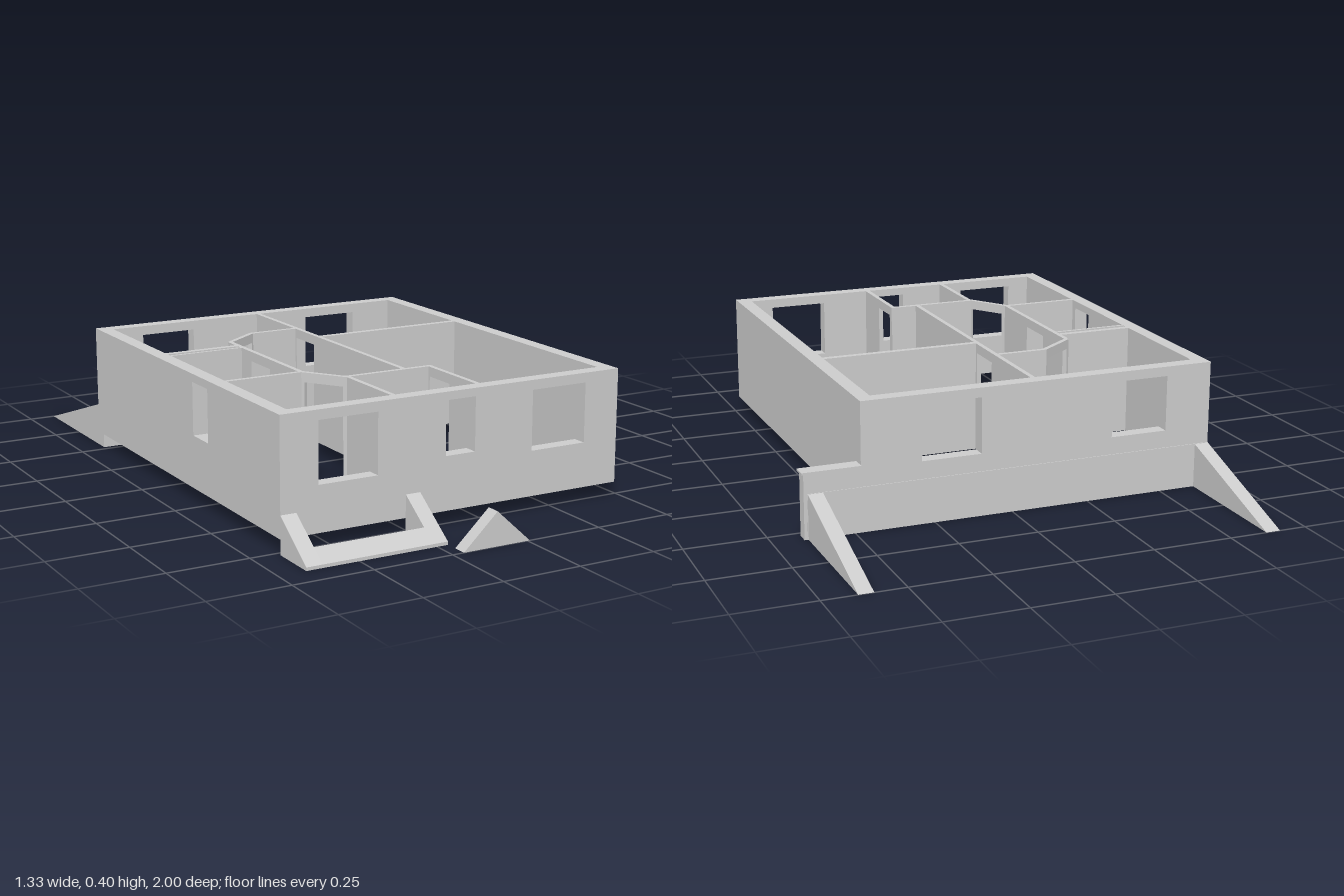
import * as THREE from 'three';

const BASE = 0.045, TOP = 0.4, DOOR = 0.37;
const material = new THREE.MeshStandardMaterial({ color: 0xcccccc, flatShading: true });

export function createModel() {
  const model = new THREE.Group();

  function add(name, geometry) {
    const mesh = new THREE.Mesh(geometry, material);
    mesh.name = name;
    model.add(mesh);
    return mesh;
  }

  function box(name, x0, x1, y0, y1, z0, z1) {
    add(name, new THREE.BoxGeometry(x1 - x0, y1 - y0, z1 - z0))
      .position.set((x0 + x1) / 2, (y0 + y1) / 2, (z0 + z1) / 2);
  }

  // Upright wall along a centre line; doors are [start, end], windows [start, end, bottom, top]
  function wall(name, [ax, az], [bx, bz], thickness, doors = [], windows = []) {
    const length = Math.hypot(bx - ax, bz - az);
    const shape = new THREE.Shape();
    shape.moveTo(0, BASE);
    for (const [s, e] of doors) {
      shape.lineTo(s, BASE).lineTo(s, DOOR).lineTo(e, DOOR).lineTo(e, BASE);
    }
    shape.lineTo(length, BASE).lineTo(length, TOP).lineTo(0, TOP).closePath();
    for (const [s, e, y0, y1] of windows) {
      const hole = new THREE.Path();
      hole.moveTo(s, y0).lineTo(s, y1).lineTo(e, y1).lineTo(e, y0).closePath();
      shape.holes.push(hole);
    }
    const geometry = new THREE.ExtrudeGeometry(shape, { depth: thickness, bevelEnabled: false });
    geometry.translate(0, 0, -thickness / 2);
    const mesh = add(name, geometry);
    mesh.position.set(ax, 0, az);
    mesh.rotation.y = Math.atan2(az - bz, bx - ax);
  }

  // Solid with a side profile of [z, y] points, spanning x0 to x1
  function sideProfile(name, points, x0, x1) {
    const shape = new THREE.Shape(points.map(([z, y]) => new THREE.Vector2(-z, y)));
    const geometry = new THREE.ExtrudeGeometry(shape, { depth: x1 - x0, bevelEnabled: false });
    geometry.rotateY(Math.PI / 2);
    geometry.translate(x0, 0, 0);
    add(name, geometry);
  }

  // Outer walls
  const X0 = -0.665, X1 = 0.48, Z0 = -0.56, Z1 = 0.77, T = 0.045, H = T / 2;
  wall('frontWall', [X0, Z1 - H], [X1, Z1 - H], T, [], [
    [0.12, 0.31, 0.185, 0.37],
    [0.535, 0.635, 0.21, 0.375],
    [0.835, 1.025, 0.185, 0.37],
  ]);
  wall('backWall', [X0, Z0 + H], [X1, Z0 + H], T, [], [
    [0.15, 0.335, 0.195, 0.37],
    [0.765, 0.955, 0.195, 0.37],
  ]);
  wall('rightWall', [X0 + H, Z0 + T], [X0 + H, Z1 - T], T, [], [[0.72, 0.825, 0.21, 0.375]]);
  wall('leftWall', [X1 - H, Z0 + T], [X1 - H, Z1 - T], T);

  // Inner partitions
  const t = 0.015;
  wall('spinePartition', [-0.083, -0.515], [-0.083, 0.455], t, [[0.295, 0.415]]);
  wall('leftRoomPartition', [-0.08, -0.08], [0.436, -0.08], 0.02);
  wall('corridorEndPartition', [-0.25, -0.235], [-0.083, -0.235], t);
  wall('backDiagonalPartition', [-0.37, -0.145], [-0.25, -0.235], t, [[0.012, 0.138]]);
  wall('corridorPartition', [-0.37, -0.145], [-0.37, 0.34], t, [[0.165, 0.295]]);
  wall('frontDiagonalPartition', [-0.37, 0.34], [-0.28, 0.47], t, [[0.015, 0.143]]);
  wall('hallRightPartition', [-0.28, 0.465], [-0.28, 0.726], t);
  wall('hallBackPartition', [-0.285, 0.46], [0.012, 0.46], t);
  wall('hallLeftPartition', [0.005, 0.455], [0.005, 0.726], t, [[0.02, 0.13]]);
  wall('rightRoomPartition', [-0.62, -0.083], [-0.37, -0.083], 0.02);
  wall('thinPartition', [-0.62, -0.052], [-0.37, -0.052], 0.01);
  wall('frontRoomPartition', [-0.62, 0.34], [-0.37, 0.34], t);

  // Low retaining wall behind the house, its end pier and cap
  box('retainingWall', X0, 0.645, 0, 0.14, -0.563, -0.52);
  box('retainingPier', X1, 0.655, 0, 0.2, -0.561, -0.522);
  box('pierCap', X1, 0.662, 0.2, 0.207, -0.567, -0.52);

  // Sloping wing walls at the back
  for (const x of [X0, 0.597]) {
    sideProfile('wingWall', [[-0.56, 0], [-0.56, 0.14], [-1, 0]].reverse(), x, x + 0.046);
  }

  // Sloping light-well surround at the front: two arms and a front bar
  const slope = (z) => 0.115 - (z - 0.77) * 0.7;
  const arm = [[0.77, 0], [0.77, slope(0.77)], [0.92, slope(0.92)], [0.92, 0]];
  const bar = [[0.87, 0], [0.87, slope(0.87)], [0.92, slope(0.92)], [0.92, 0]];
  sideProfile('surroundRightArm', arm, X0, -0.615);
  sideProfile('surroundLeftArm', arm, -0.263, -0.215);
  sideProfile('surroundFrontBar', bar, -0.615, -0.263);

  // Free-standing gable block
  const gable = new THREE.Shape();
  gable.moveTo(-0.213, 0).lineTo(0.008, 0).lineTo(-0.103, 0.103).closePath();
  add('gableBlock', new THREE.ExtrudeGeometry(gable, { depth: 0.045, bevelEnabled: false }))
    .position.z = 0.955;

  return model;
}
